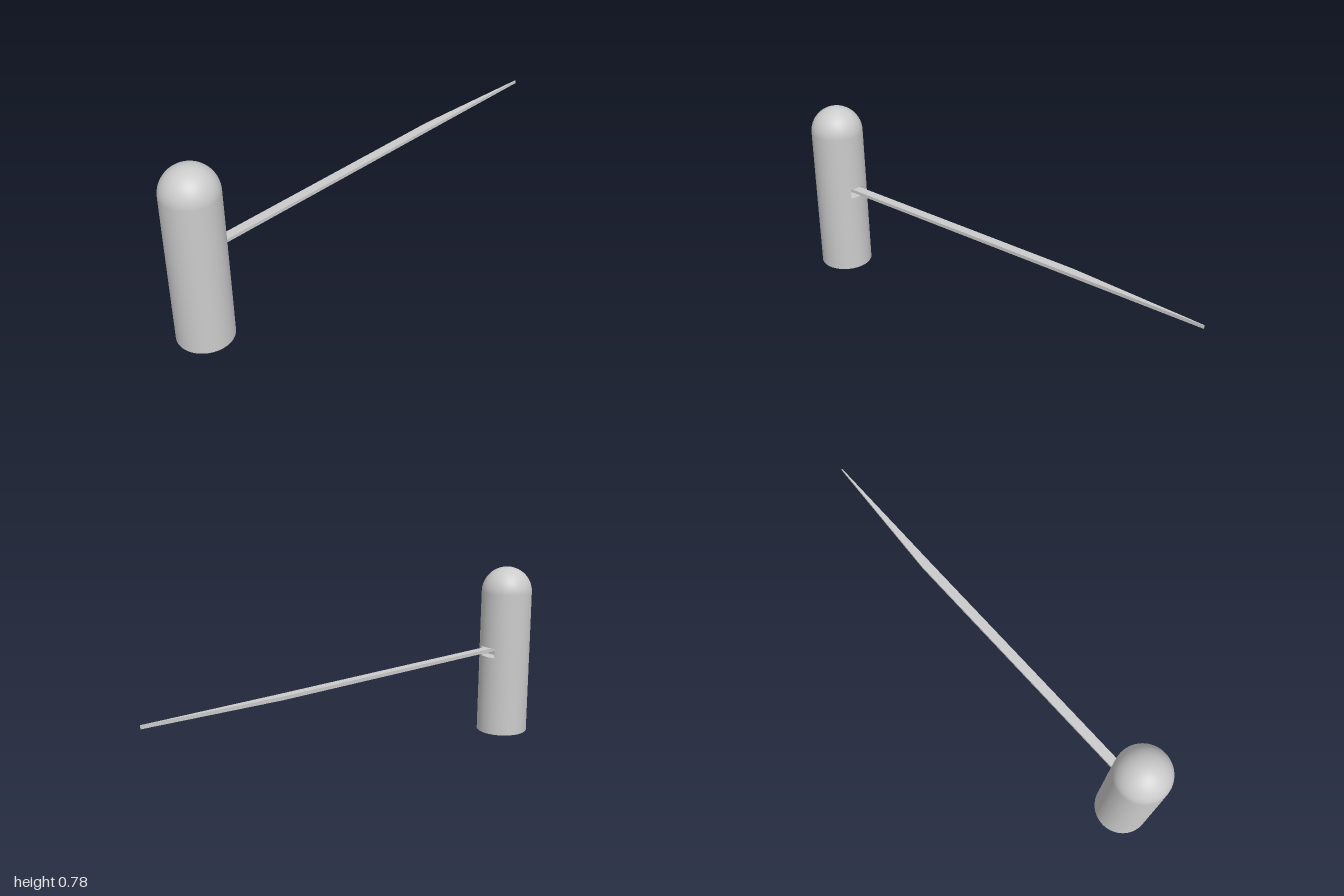
import * as THREE from 'three';
import { toCreasedNormals } from 'three/addons/utils/BufferGeometryUtils.js';

const material = new THREE.MeshStandardMaterial({ color: 0xcccccc });

function add(group, name, geometry, x = 0, y = 0) {
  const mesh = new THREE.Mesh(geometry, material);
  mesh.name = name;
  mesh.position.set(x, y, 0);
  group.add(mesh);
}

// Horizontal slice of the body with a rectangular notch cut into its +x side
function notchedSlice(radius, halfWidth, notchX, height) {
  const a = Math.asin(halfWidth / radius);
  const shape = new THREE.Shape();
  shape.absarc(0, 0, radius, a, Math.PI * 2 - a, false);
  shape.lineTo(notchX, -halfWidth);
  shape.lineTo(notchX, halfWidth);
  shape.closePath();
  const slice = new THREE.ExtrudeGeometry(shape, { depth: height, bevelEnabled: false, curveSegments: 64 });
  return toCreasedNormals(slice.rotateX(-Math.PI / 2), 0.5);
}

// Tapered bar with flat sides from sections [x, zBack, zFront, yBottom, yTop]
function bladeGeometry(sections) {
  const rings = sections.map(([x, zb, zf, y0, y1]) => [
    [x, y0, zb], [x, y0, zf], [x, y1, zf], [x, y1, zb],
  ]);
  const points = [];
  const quad = (a, b, c, d) => points.push(...a, ...b, ...c, ...a, ...c, ...d);
  for (let i = 0; i < rings.length - 1; i++) {
    for (let j = 0; j < 4; j++) {
      const k = (j + 1) % 4;
      quad(rings[i][j], rings[i + 1][j], rings[i + 1][k], rings[i][k]);
    }
  }
  const [first, last] = [rings[0], rings[rings.length - 1]];
  quad(...first);
  quad(last[3], last[2], last[1], last[0]);
  const geometry = new THREE.BufferGeometry();
  geometry.setAttribute('position', new THREE.Float32BufferAttribute(points, 3));
  geometry.computeVertexNormals();
  return geometry;
}

export function createModel() {
  const model = new THREE.Group();
  model.name = 'bladedPost';

  // Round post with a domed top
  const post = new THREE.Group();
  post.name = 'post';
  post.position.x = -0.883;
  model.add(post);
  const slotBottom = 0.37, slotTop = 0.415, domeBase = 0.665, radius = 0.115;
  add(post, 'lowerPost', new THREE.CylinderGeometry(0.116, 0.117, slotBottom, 64), 0, slotBottom / 2);
  add(post, 'slottedBand', notchedSlice(0.116, 0.042, 0.063, slotTop - slotBottom), 0, slotBottom);
  add(post, 'upperPost', new THREE.CylinderGeometry(radius, 0.116, domeBase - slotTop, 64), 0, (slotTop + domeBase) / 2);
  add(post, 'dome', new THREE.SphereGeometry(radius, 64, 20, 0, Math.PI * 2, 0, Math.PI / 2), 0, domeBase);

  // Long thin blade rooted in the slot, narrowing to a fine tip
  add(model, 'blade', bladeGeometry([
    [-0.825, -0.011, 0.029, 0.395, 0.41],
    [0.4, -0.056, -0.017, 0.386, 0.401],
    [1, -0.04, -0.037, 0.383, 0.398],
  ]));
  return model;
}
